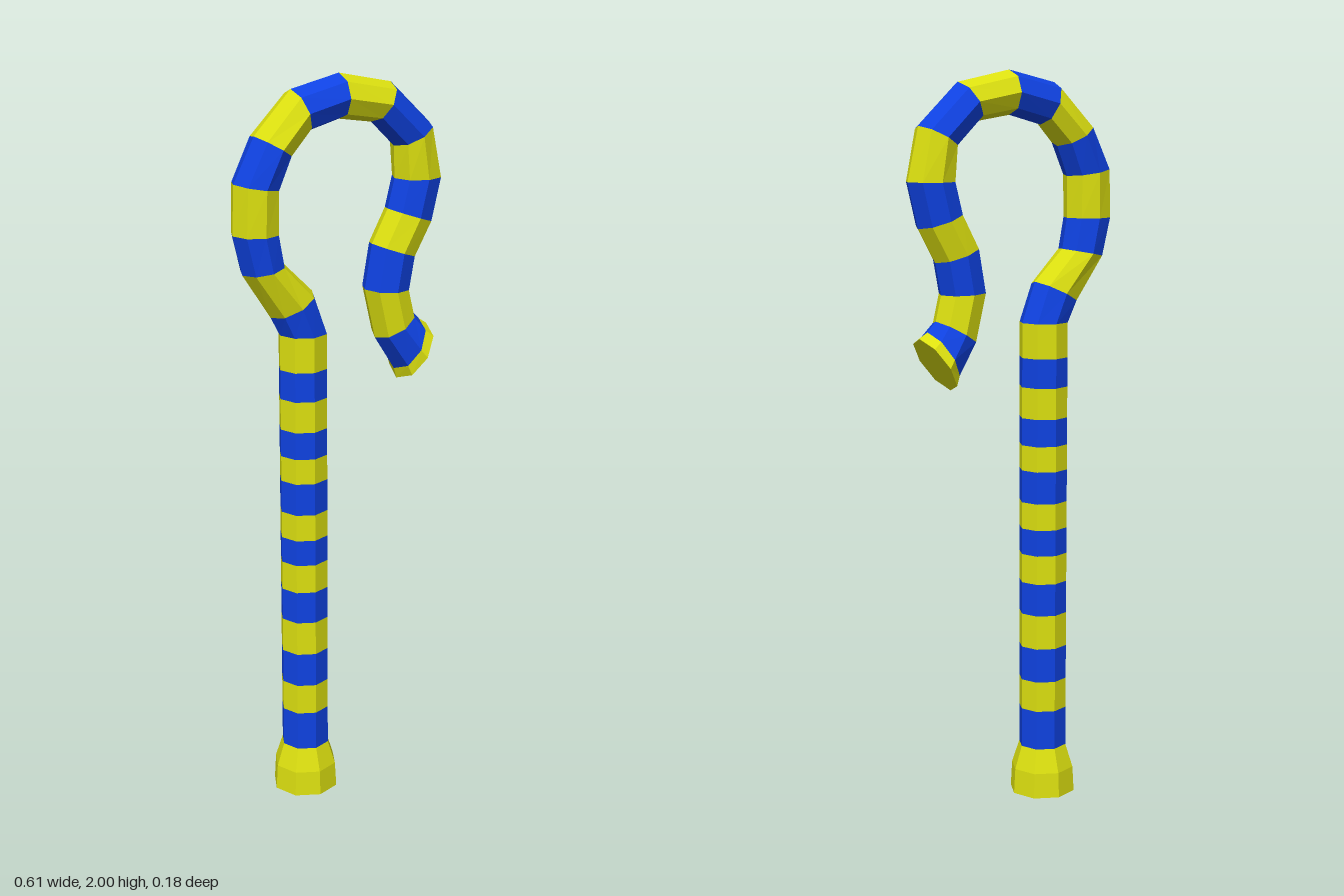
import * as THREE from 'three';

const SIDES = 8;
const SHAFT_X = -0.105;

// Octagonal ring spanning an outer and an inner point in the xy plane, with half depth rz.
function ring([ox, oy, ix, iy, rz]) {
  const cx = (ox + ix) / 2, cy = (oy + iy) / 2;
  const points = [];
  for (let j = 0; j < SIDES; j++) {
    const a = (j / SIDES) * Math.PI * 2;
    points.push([cx + (Math.cos(a) * (ox - ix)) / 2, cy + (Math.cos(a) * (oy - iy)) / 2, Math.sin(a) * rz]);
  }
  return { points, centre: [cx, cy, 0] };
}

const flatRing = (y, r) => [SHAFT_X - r, y, SHAFT_X + r, y, r];

// Skin a run of rings, optionally closing the first or last one.
function loft(rows, capStart = false, capEnd = false) {
  const rings = rows.map(ring);
  const pos = [];
  const tri = (a, b, c) => pos.push(...a, ...b, ...c);
  for (let i = 0; i < rings.length - 1; i++) {
    const a = rings[i].points, b = rings[i + 1].points;
    for (let j = 0; j < SIDES; j++) {
      const k = (j + 1) % SIDES;
      tri(a[j], a[k], b[k]);
      tri(a[j], b[k], b[j]);
    }
  }
  const first = rings[0], last = rings[rings.length - 1];
  for (let j = 0; j < SIDES; j++) {
    const k = (j + 1) % SIDES;
    if (capStart) tri(first.centre, first.points[k], first.points[j]);
    if (capEnd) tri(last.centre, last.points[j], last.points[k]);
  }
  const g = new THREE.BufferGeometry();
  g.setAttribute('position', new THREE.Float32BufferAttribute(pos, 3));
  g.computeVertexNormals();
  return g;
}

export function createModel() {
  const yellow = new THREE.MeshStandardMaterial({ color: 0xdce010, flatShading: true });
  yellow.name = 'yellow';
  const blue = new THREE.MeshStandardMaterial({ color: 0x0f42e2, flatShading: true });
  blue.name = 'blue';

  const model = new THREE.Group();
  model.name = 'crook';
  const shaft = new THREE.Group();
  shaft.name = 'shaft';
  const hook = new THREE.Group();
  hook.name = 'hook';
  model.add(shaft, hook);

  const add = (parent, name, geometry, material) => {
    const mesh = new THREE.Mesh(geometry, material);
    mesh.name = name;
    parent.add(mesh);
  };

  // Flared foot
  add(model, 'foot', loft([flatRing(0, 0.092), flatRing(0.07, 0.088), flatRing(0.135, 0.067)], true), yellow);

  // Straight shaft, alternating stripes from blue
  const stripes = [0.135, 0.245, 0.33, 0.425, 0.52, 0.61, 0.69, 0.762, 0.836, 0.925, 0.995, 1.07, 1.155, 1.235, 1.33];
  for (let i = 0; i < stripes.length - 1; i++) {
    add(shaft, 'shaftStripe' + (i + 1),
      loft([flatRing(stripes[i], 0.067), flatRing(stripes[i + 1], 0.067)]), i % 2 ? yellow : blue);
  }

  // Curved hook: outer x, y, inner x, y, half depth
  const bend = [
    flatRing(1.33, 0.067),
    [-0.198, 1.38, -0.077, 1.44, 0.067],
    [-0.278, 1.503, -0.163, 1.525, 0.067],
    [-0.304, 1.608, -0.177, 1.608, 0.067],
    [-0.299, 1.74, -0.177, 1.72, 0.07],
    [-0.24, 1.857, -0.146, 1.8, 0.074],
    [-0.135, 1.968, -0.093, 1.857, 0.067],
    [0.003, 2, 0.003, 1.883, 0.067],
    [0.156, 1.968, 0.098, 1.868, 0.067],
    [0.272, 1.857, 0.167, 1.8, 0.068],
    [0.304, 1.714, 0.17, 1.714, 0.067],
    [0.275, 1.593, 0.15, 1.635, 0.067],
    [0.225, 1.503, 0.103, 1.545, 0.067],
    [0.209, 1.418, 0.082, 1.423, 0.067],
    [0.225, 1.35, 0.114, 1.286, 0.067],
    [0.25, 1.323, 0.174, 1.192, 0.081],
    [0.274, 1.307, 0.182, 1.164, 0.088],
  ];
  for (let i = 0; i < bend.length - 2; i++) {
    add(hook, 'hookStripe' + (i + 1), loft([bend[i], bend[i + 1]]), i % 2 ? yellow : blue);
  }

  // Flared closed tip
  add(hook, 'hookTip', loft(bend.slice(-2), false, true), yellow);

  return model;
}
